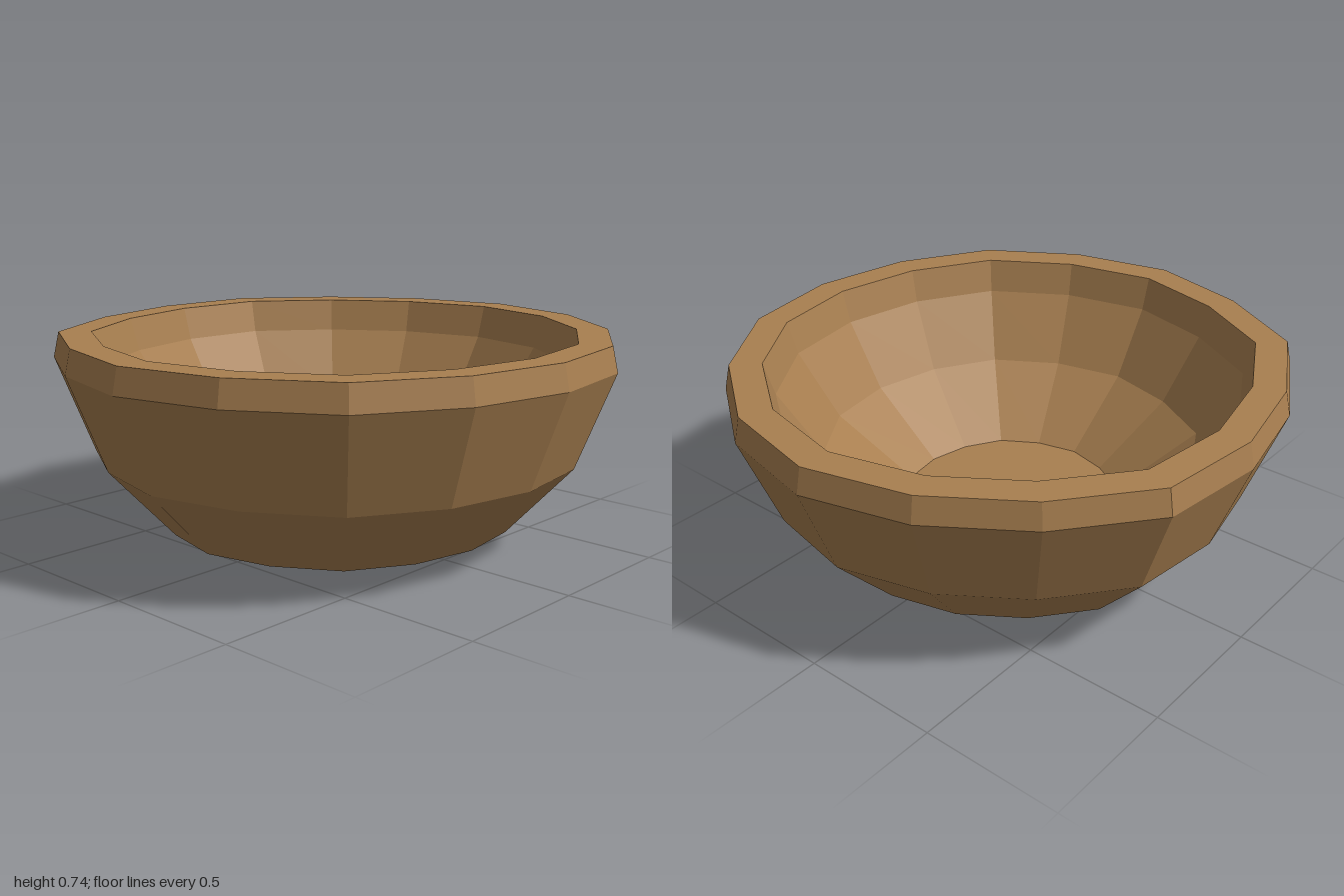
import * as THREE from 'three';

export function createModel() {
  const group = new THREE.Group();
  group.name = 'woodenBowl';

  // Closed profile: underside, outer wall, flat rim, inner wall, floor
  const profile = [
    [0, 0], [0.43, 0], [0.635, 0.06], [0.868, 0.31], [1, 0.65], [0.98, 0.74],
    [0.865, 0.74], [0.83, 0.62], [0.68, 0.38], [0.397, 0.16], [0, 0.16],
  ].map(([r, y]) => new THREE.Vector2(r, y));

  // Hand-carved unevenness: one radius factor per column, from +z towards +x
  const carve = [
    0.99, 0.975, 0.987, 0.967, 0.97, 0.988, 0.987, 0.995,
    1, 0.973, 0.969, 1.006, 0.975, 0.97, 1.007, 0.975,
  ];
  const sides = carve.length;
  const geometry = new THREE.LatheGeometry(profile, sides);
  const pos = geometry.attributes.position;
  for (let i = 0; i < pos.count; i++) {
    const k = carve[Math.floor(i / profile.length) % sides];
    pos.setX(i, pos.getX(i) * k);
    pos.setZ(i, pos.getZ(i) * k);
  }
  geometry.computeVertexNormals();

  const wood = new THREE.MeshStandardMaterial({ color: 0xa87f50, flatShading: true });
  const bowl = new THREE.Mesh(geometry, wood);
  bowl.name = 'bowl';
  group.add(bowl);
  return group;
}
